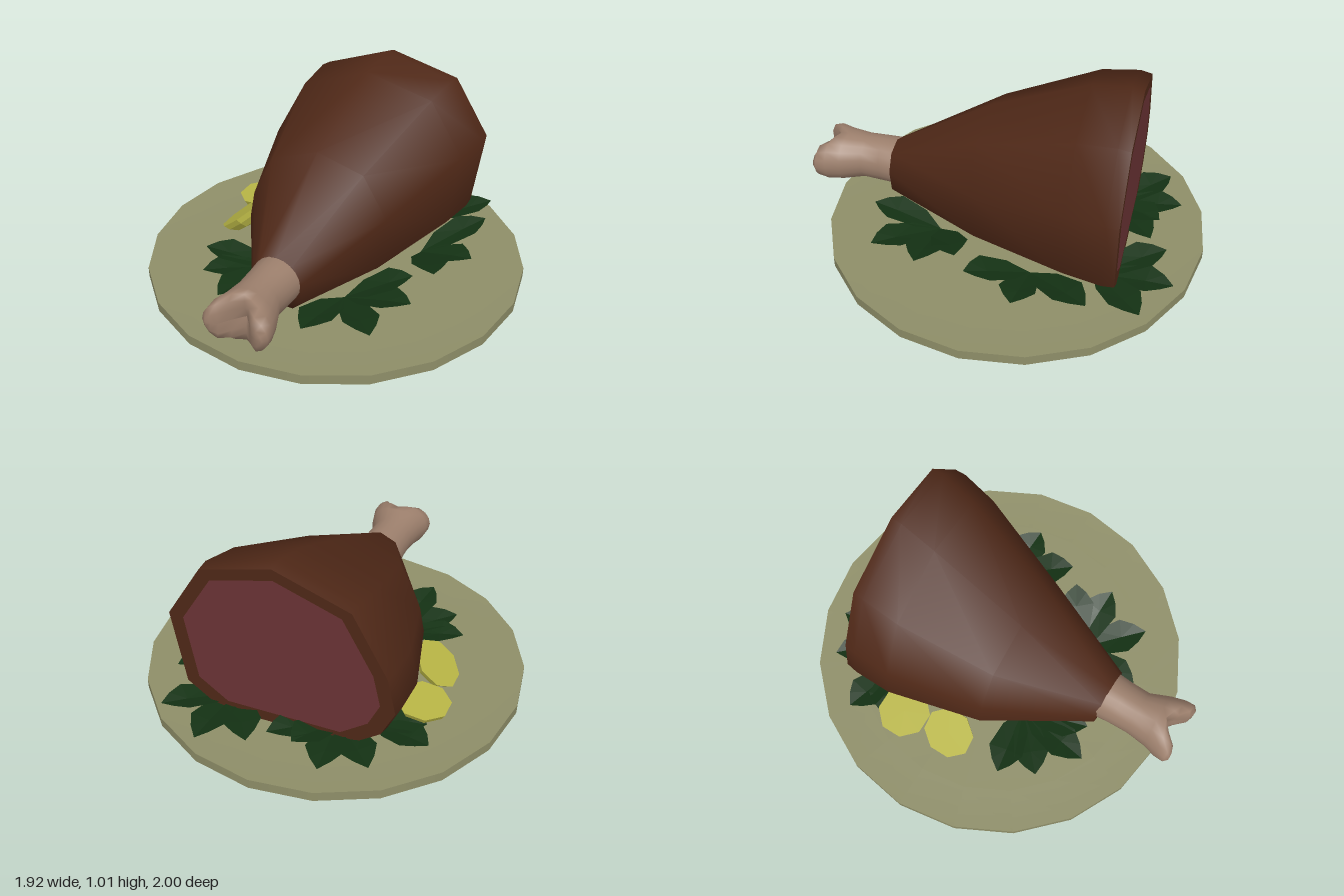
import * as THREE from 'three';

const mat = (color, extra = {}) =>
  new THREE.MeshStandardMaterial({ color, ...extra });
const MEAT = mat(0x4f2817);
const FLESH = mat(0x6b3335);
const BONE = mat(0x9c7f6c);
const PLATE = mat(0x8e8e68);
const LEMON = mat(0xb8b545, { flatShading: true });
const LEAF = mat(0x143214, { flatShading: true, side: THREE.DoubleSide });

function add(parent, name, geometry, material) {
  const mesh = new THREE.Mesh(geometry, material);
  mesh.name = name;
  parent.add(mesh);
  return mesh;
}

// Skin closed rings of Vector3 (counter-clockwise from the front, back to front)
function loft(rings) {
  const n = rings[0].length;
  const index = [];
  for (let i = 0; i < rings.length - 1; i++) {
    for (let j = 0; j < n; j++) {
      const k = (j + 1) % n;
      const a = i * n + j, b = i * n + k, c = b + n, d = a + n;
      index.push(a, b, c, a, c, d);
    }
  }
  const g = new THREE.BufferGeometry().setFromPoints(rings.flat());
  g.setIndex(index);
  g.computeVertexNormals();
  return g;
}

// Joint outline: x from -1 to 1, y from 0 to 1
const OUTLINE = [
  [0.03, 1], [-0.63, 0.85], [-0.93, 0.5], [-1, 0.29], [-0.88, 0.13],
  [-0.6, 0], [0.6, 0], [0.9, 0.14], [1, 0.58], [0.67, 0.9],
];

// Outline fitted to a box; the cut end leans slightly
function meatRing(z, x0, x1, y0, y1, scale = 1) {
  const cx = (x0 + x1) / 2, cy = (y0 + y1) / 2;
  return OUTLINE.map(([u, v]) => {
    const x = cx + (u * (x1 - x0) / 2) * scale;
    const y = cy + (v - 0.5) * (y1 - y0) * scale;
    const lean = z < -0.3 ? 0.04 * x + 0.02 * (y - 0.5) : 0;
    return new THREE.Vector3(x, y, z - lean);
  });
}

function buildMeat(parent) {
  const end = [-0.54, 0.56, 0.1, 1.0];
  add(parent, 'roastSkin', loft([
    meatRing(-0.63, ...end),
    meatRing(-0.57, -0.55, 0.56, 0.09, 1.01),
    meatRing(-0.38, -0.55, 0.52, 0.09, 0.97),
    meatRing(0.1, -0.42, 0.34, 0.09, 0.75),
    meatRing(0.59, -0.12, 0.15, 0.2, 0.47),
    meatRing(0.6, -0.12, 0.15, 0.2, 0.47, 0),
  ]), MEAT);
  add(parent, 'skinRim', loft([
    meatRing(-0.63, ...end, 0.87), meatRing(-0.63, ...end),
  ]), MEAT);
  add(parent, 'cutFace', loft([
    meatRing(-0.63, ...end, 0), meatRing(-0.63, ...end, 0.87),
  ]), FLESH);
}

// Shank bone flaring into two knuckles with a notch between them
function buildBone(parent) {
  const profile = [ // z, half width, half height, notch depth
    [0.55, 0.125, 0.12, 0], [0.66, 0.115, 0.12, 0], [0.76, 0.113, 0.115, 0],
    [0.86, 0.14, 0.13, 0.01], [0.93, 0.16, 0.138, 0.04],
    [0.98, 0.165, 0.115, 0.09], [1.0, 0.145, 0.07, 0.11], [1.0, 0.14, 0, 0.12],
  ];
  const rings = profile.map(([z, rx, ry, notch]) =>
    Array.from({ length: 20 }, (_, j) => {
      const a = (j / 20) * Math.PI * 2;
      const x = rx * Math.cos(a);
      const dip = Math.exp(-((x / 0.06) ** 2));
      const y = ry * Math.sin(a) * (1 - 2.5 * notch * dip);
      const shift = z > 0.8 ? 0.033 : 0.018;
      return new THREE.Vector3(x + shift, y + 0.34, z - notch * dip);
    }));
  add(parent, 'shankBone', loft(rings), BONE);
}

function buildPlate(parent) {
  const plate = new THREE.Group();
  plate.name = 'plate';
  plate.position.z = -0.04;
  parent.add(plate);
  const lathe = (name, pts) => add(plate, name, new THREE.LatheGeometry(
    pts.map(p => new THREE.Vector2(...p)), 20), PLATE);
  lathe('plateUnderside', [[0, 0], [0.81, 0], [0.96, 0.05]]);
  lathe('plateEdge', [[0.96, 0.05], [0.96, 0.1]]);
  lathe('plateTop', [[0.96, 0.1], [0.75, 0.088], [0, 0.085]]);
}

// Halved lemons, eight-sided with a flat cut face
function buildLemons(parent) {
  const profile = [[0, -0.08], [0.08, -0.065], [0.12, -0.03], [0.135, 0], [0, 0]]
    .map(p => new THREE.Vector2(...p));
  for (const [x, y, z, tilt] of [[-0.56, 0.175, -0.27, 0.08], [-0.54, 0.2, -0.01, 0.68]]) {
    const lemon = add(parent, 'lemonHalf', new THREE.LatheGeometry(
      profile, 8, Math.PI / 8), LEMON);
    lemon.position.set(x, y, z);
    lemon.rotation.z = tilt;
  }
}

// Pointed leaf folded along its midrib, running from base to tip
function leafGeometry(base, tip, width) {
  const along = tip.clone().sub(base);
  const side = new THREE.Vector3(-along.z, 0, along.x).normalize();
  const at = (t, s, lift) => base.clone().addScaledVector(along, t)
    .addScaledVector(side, s * width).add(new THREE.Vector3(0, lift, 0));
  const pts = [at(0, 0, 0), at(0.65, 0, 0.005), at(1, 0, 0)];
  for (const s of [-1, 1]) {
    pts.push(at(0.3, 0.38 * s, 0.015), at(0.68, 0.5 * s, 0.025), at(0.86, 0.28 * s, 0.015));
  }
  const g = new THREE.BufferGeometry().setFromPoints(pts);
  g.setIndex([0, 1, 3, 3, 1, 4, 4, 1, 5, 5, 1, 2, 0, 6, 1, 6, 7, 1, 7, 8, 1, 8, 2, 1]);
  g.computeVertexNormals();
  return g;
}

// Sprigs of leaves fanned out around the joint
function buildLeaves(parent) {
  const sprigs = [ // base x, z, then leaf tips x, y, z
    [-0.22, -0.5, [[-0.48, 0.15, -0.76], [-0.27, 0.14, -0.85], [-0.1, 0.16, -0.76], [0.04, 0.15, -0.74]]],
    [0.32, -0.52, [[0.1, 0.15, -0.83], [0.33, 0.14, -0.9], [0.58, 0.16, -0.78]]],
    [0.4, -0.22, [[0.63, 0.2, -0.54], [0.68, 0.17, -0.2], [0.58, 0.21, 0.06]]],
    [0.22, 0.3, [[0.5, 0.22, 0.13], [0.57, 0.2, 0.31], [0.48, 0.17, 0.57], [0.18, 0.17, 0.67]]],
    [-0.22, 0.24, [[-0.57, 0.16, 0.3], [-0.48, 0.15, 0.47], [-0.29, 0.17, 0.63], [-0.13, 0.17, 0.57]]],
    [-0.38, -0.45, [[-0.68, 0.16, -0.53], [-0.62, 0.14, -0.38]]],
  ];
  const garnish = new THREE.Group();
  garnish.name = 'leafGarnish';
  parent.add(garnish);
  for (const [x, z, tips] of sprigs) {
    for (const tip of tips) {
      add(garnish, 'leaf', leafGeometry(
        new THREE.Vector3(x, 0.11, z), new THREE.Vector3(...tip), 0.18), LEAF);
    }
  }
}

export function createModel() {
  const model = new THREE.Group();
  model.name = 'roastOnPlate';
  buildPlate(model);
  buildMeat(model);
  buildBone(model);
  buildLemons(model);
  buildLeaves(model);
  return model;
}
